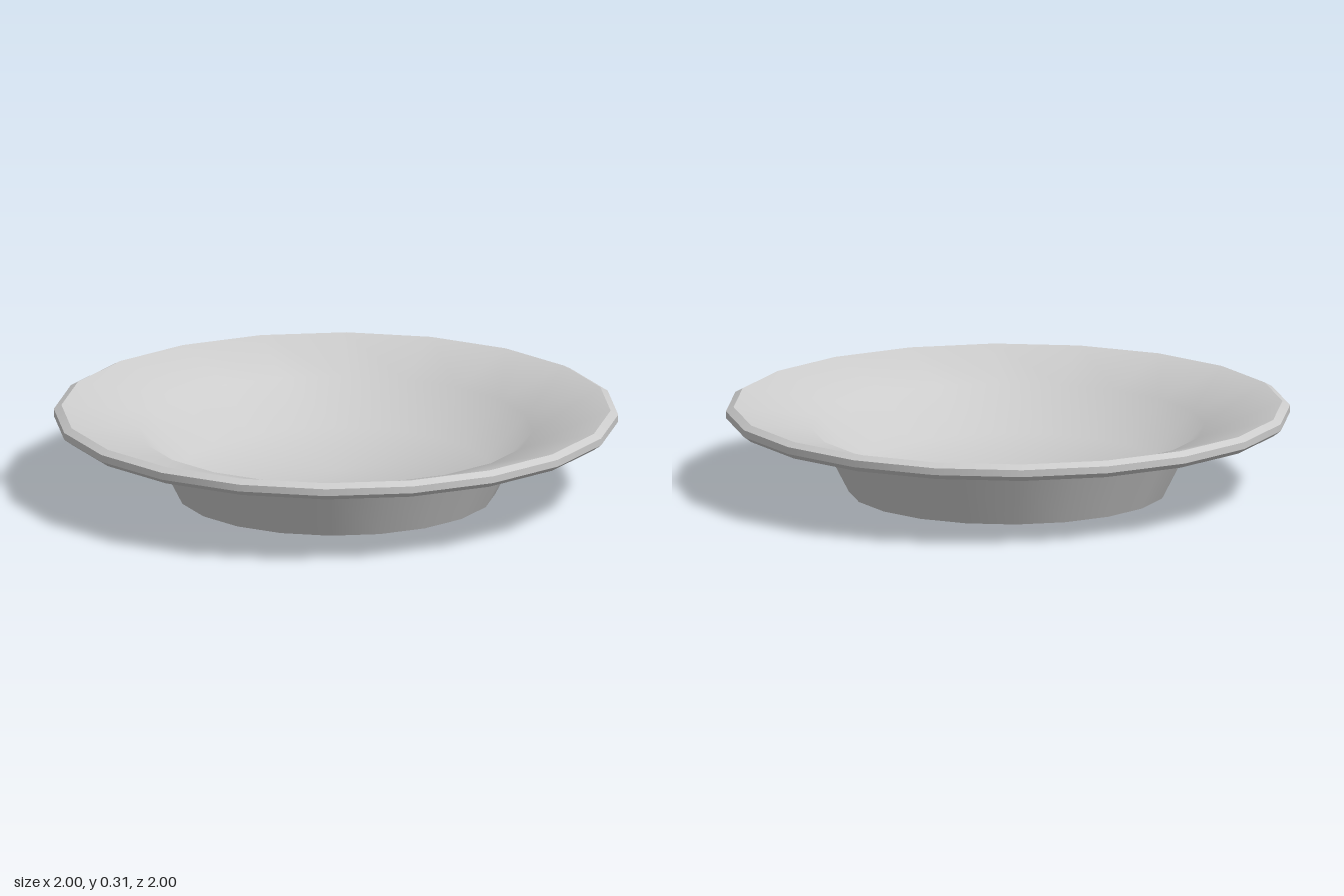
import * as THREE from 'three';

const SIDES = 20;

// One smooth band of revolution; separate bands meet in sharp edges
function band(name, profile) {
  const points = profile.map(([r, y]) => new THREE.Vector2(r, y));
  const mesh = new THREE.Mesh(
    new THREE.LatheGeometry(points, SIDES),
    new THREE.MeshStandardMaterial({ color: 0xcccccc, side: THREE.DoubleSide })
  );
  mesh.name = name;
  return mesh;
}

// Sets the inward lean of the normals (radians) ring by ring for a soft blend
function leanNormals(mesh, leans) {
  const { normal } = mesh.geometry.attributes;
  for (let i = 0; i < normal.count; i++) {
    const lean = leans[i % leans.length];
    const turn = Math.floor(i / leans.length) / SIDES * Math.PI * 2;
    normal.setXYZ(i, -Math.sin(turn) * Math.sin(lean), Math.cos(lean), -Math.cos(turn) * Math.sin(lean));
  }
  return mesh;
}

export function createModel() {
  const dish = new THREE.Group();
  dish.name = 'dish';

  // Outside, from the base up
  dish.add(band('base', [[0, 0], [0.565, 0]]));
  dish.add(band('foot', [[0.565, 0], [0.66, 0.185]]));
  dish.add(band('underside', [[0.66, 0.185], [0.973, 0.25]]));

  // Bevelled edge of the rim
  dish.add(band('rimLowerBevel', [[0.973, 0.25], [1, 0.27]]));
  dish.add(band('rimEdge', [[1, 0.27], [1, 0.295]]));
  dish.add(band('rimUpperBevel', [[1, 0.295], [0.973, 0.31]]));

  // Inside: gently sloping lip, 45 degree well wall and flat floor
  const inside = band('bowlInside', [[0.973, 0.31], [0.698, 0.229], [0.55, 0.08], [0, 0.08]]);
  dish.add(leanNormals(inside, [0.29, 0.54, 0.39, 0]));

  return dish;
}
